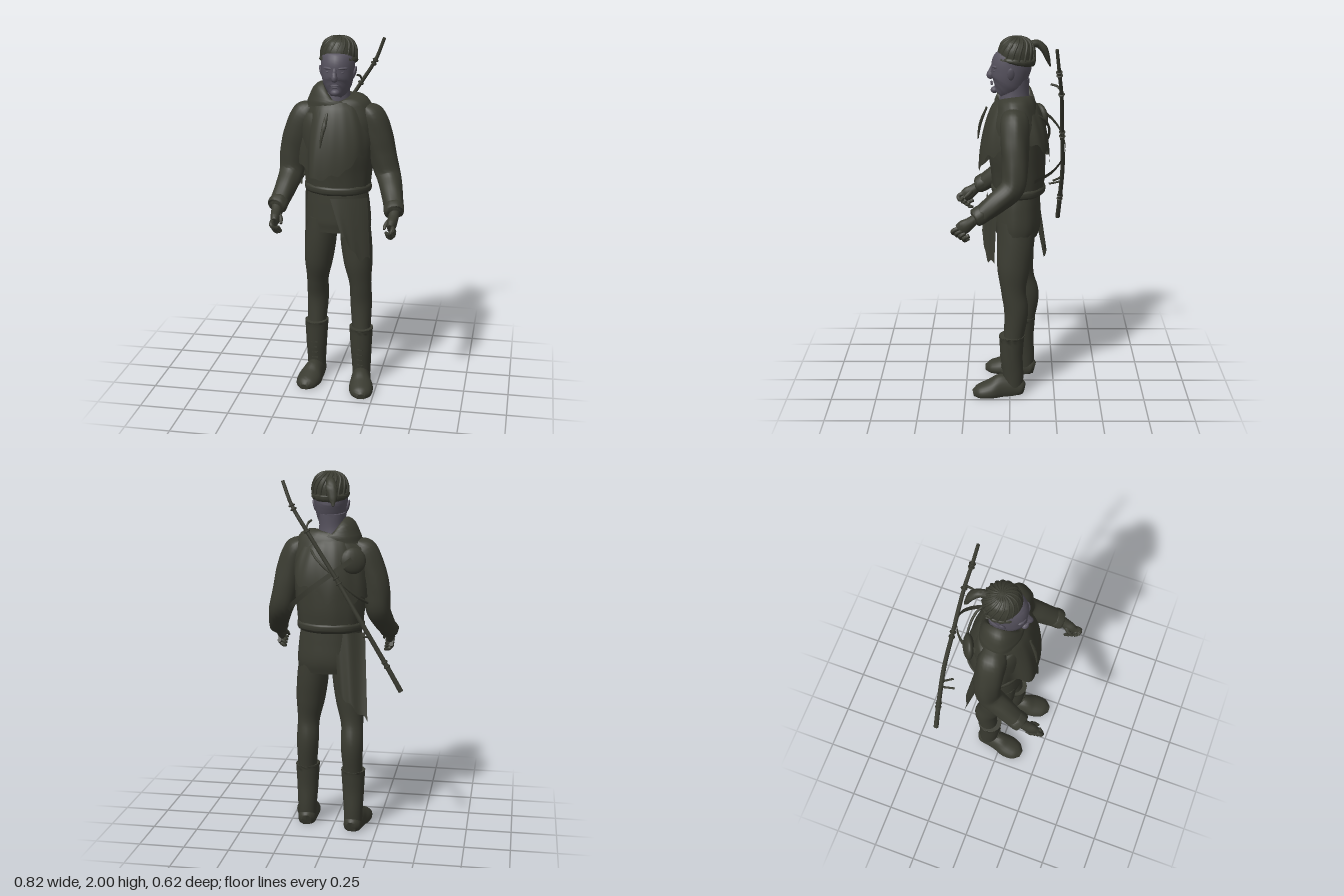
import * as THREE from 'three';
import { toCreasedNormals } from 'three/addons/utils/BufferGeometryUtils.js';

const { lerp, smoothstep } = THREE.MathUtils;
const V = (x, y, z) => new THREE.Vector3(x, y, z);

// Smooth closed body through elliptical sections [x, y, z, halfWidth, halfDepth]
function loft(rows, { n = 24, steps = 5, folds = 0, amp = 0, twist = 0, crease = 0.9 } = {}) {
  const path = new THREE.CatmullRomCurve3(rows.map((r) => V(r[0], r[1], r[2])));
  const size = new THREE.CatmullRomCurve3(rows.map((r) => V(r[3], r[4], r[1])), false, 'catmullrom', 0.4);
  const rings = (rows.length - 1) * steps;
  const pos = [], idx = [];
  for (let i = 0; i <= rings; i++) {
    const c = path.getPoint(i / rings), s = size.getPoint(i / rings), t = path.getTangent(i / rings);
    const u = V(1, 0, 0).addScaledVector(t, -t.x).normalize(), v = t.clone().cross(u);
    for (let j = 0; j < n; j++) {
      const a = (j / n) * Math.PI * 2, w = 1 + amp * Math.sin(folds * a + twist * i);
      const p = c.clone().addScaledVector(u, Math.cos(a) * s.x * w).addScaledVector(v, Math.sin(a) * s.y * w);
      pos.push(p.x, Math.max(p.y, 0), p.z); // anything below the ground is pressed flat
      if (i === rings) continue;
      const A = i * n + j, B = i * n + (j + 1) % n;
      idx.push(A, B, A + n, B, B + n, A + n);
    }
  }
  const first = rows[0], last = rows[rows.length - 1], k = pos.length / 3;
  pos.push(...first.slice(0, 3), ...last.slice(0, 3));
  for (let j = 0; j < n; j++) {
    const q = (j + 1) % n, e = rings * n;
    idx.push(k, q, j, k + 1, e + j, e + q);
  }
  return finish(pos, idx, crease);
}

// Open cloth surface from a rule f(u, v) -> [x, y, z]
function sheet(nu, nv, f) {
  const pos = [], idx = [];
  for (let j = 0; j <= nv; j++) for (let i = 0; i <= nu; i++) {
    pos.push(...f(i / nu, j / nv));
    if (i < nu && j < nv) {
      const a = j * (nu + 1) + i, b = a + nu + 1;
      idx.push(a, b, a + 1, b, b + 1, a + 1);
    }
  }
  return finish(pos, idx, 0.9);
}

function finish(pos, idx, crease) {
  const g = new THREE.BufferGeometry();
  g.setAttribute('position', new THREE.Float32BufferAttribute(pos, 3));
  g.setIndex(idx);
  g.computeVertexNormals();
  return toCreasedNormals(g, crease);
}

export function createModel() {
  const model = new THREE.Group();
  const mat = (name, color, side = THREE.FrontSide) => {
    const m = new THREE.MeshStandardMaterial({ color, side });
    m.name = name;
    return m;
  };
  const cloth = mat('dark olive cloth', 0x3a3b31, THREE.DoubleSide);
  const skin = mat('dusky skin', 0x56525e);
  const add = (name, geo, m = cloth) => {
    const mesh = new THREE.Mesh(geo, m);
    mesh.name = name;
    model.add(mesh);
    return mesh;
  };
  const ball = (name, x, y, z, rx, ry, rz, m = cloth) => {
    const b = add(name, new THREE.SphereGeometry(1, 16, 12), m);
    b.position.set(x, y, z);
    b.scale.set(rx, ry, rz);
    return b;
  };
  const tube = (name, pts, r) =>
    add(name, new THREE.TubeGeometry(new THREE.CatmullRomCurve3(pts.map((p) => V(...p))), 20, r, 8));

  // Neck, head and face
  add('neck', loft([[0.01, 1.78, -0.035, 0.074, 0.07], [0.01, 1.7, -0.025, 0.072, 0.077], [0, 1.6, -0.025, 0.1, 0.09]]), skin);
  add('head', loft([[0.02, 1.95, -0.03, 0.06, 0.06], [0.02, 1.9, -0.025, 0.088, 0.09], [0.02, 1.85, -0.01, 0.09, 0.107],
    [0.02, 1.8, 0, 0.087, 0.101], [0.02, 1.75, 0.012, 0.077, 0.09], [0.02, 1.715, 0.032, 0.056, 0.07],
    [0.02, 1.69, 0.055, 0.028, 0.037]], { crease: 2 }), skin);
  add('nose', loft([[0.02, 1.85, 0.086, 0.01, 0.01], [0.02, 1.815, 0.097, 0.012, 0.016], [0.02, 1.79, 0.103, 0.017, 0.021],
    [0.02, 1.777, 0.092, 0.013, 0.012]], { n: 12, crease: 2 }), skin);
  ball('chin', 0.02, 1.712, 0.083, 0.025, 0.018, 0.02, skin);
  ball('upperLip', 0.02, 1.754, 0.098, 0.024, 0.005, 0.007, skin);
  ball('lowerLip', 0.02, 1.744, 0.096, 0.02, 0.006, 0.007, skin);
  for (const s of [-1, 1]) {
    ball('brow', 0.02 + s * 0.038, 1.842, 0.08, 0.03, 0.008, 0.014, skin).rotation.y = s * 0.4;
    ball('eye', 0.02 + s * 0.036, 1.822, 0.08, 0.015, 0.006, 0.01, skin);
    const ear = ball('ear', 0.02 + s * 0.09, 1.81, -0.005, 0.009, 0.034, 0.019, skin);
    ear.rotation.z = -s * 0.25;
  }

  // Gathered cap: dome, spiral folds from the crown, ruffled brim and a tail behind
  add('cap', loft([[0.02, 1.995, -0.037, 0.01, 0.01], [0.02, 1.989, -0.037, 0.045, 0.046], [0.02, 1.965, -0.036, 0.078, 0.08],
    [0.02, 1.92, -0.034, 0.095, 0.097], [0.02, 1.865, -0.03, 0.095, 0.099]], { n: 40, crease: 2 }));
  for (let k = 0; k < 18; k++) {
    const at = (r, y, turn) => [0.02 + r * Math.cos(k * Math.PI / 9 + turn), y, -0.036 + r * Math.sin(k * Math.PI / 9 + turn)];
    tube('capFold', [at(0.01, 1.992, 0), at(0.045, 1.986, 0.12), at(0.078, 1.963, 0.3), at(0.094, 1.92, 0.5), at(0.095, 1.875, 0.6)], 0.0065);
  }
  add('capBrim', loft([[0.02, 1.892, -0.032, 0.09, 0.092], [0.02, 1.882, -0.031, 0.101, 0.104], [0.02, 1.868, -0.03, 0.102, 0.105],
    [0.02, 1.858, -0.028, 0.09, 0.094]], { n: 60, folds: 15, amp: 0.02, twist: 0.2 }));
  add('capTail', loft([[0.01, 1.95, -0.11, 0.022, 0.022], [0, 1.955, -0.145, 0.022, 0.02], [-0.01, 1.925, -0.18, 0.03, 0.02],
    [-0.02, 1.875, -0.2, 0.025, 0.014], [-0.025, 1.83, -0.215, 0.006, 0.004]], { n: 14 }));

  // Tunic, waist roll and short breeches
  add('tunic', loft([[-0.005, 1.66, -0.025, 0.125, 0.095], [0.005, 1.62, -0.03, 0.19, 0.115], [0.012, 1.53, -0.03, 0.212, 0.145],
    [0.015, 1.4, -0.035, 0.205, 0.155], [0.015, 1.27, -0.045, 0.188, 0.148], [0.015, 1.17, -0.045, 0.178, 0.14]],
    { n: 40, folds: 11, amp: 0.012, twist: 0.1 }));
  add('waistRoll', loft([[0.015, 1.2, -0.045, 0.17, 0.13], [0.015, 1.185, -0.045, 0.187, 0.148],
    [0.015, 1.155, -0.045, 0.184, 0.145], [0.015, 1.14, -0.045, 0.16, 0.125]], { n: 36, folds: 8, amp: 0.01 }));
  add('breeches', loft([[0.015, 1.16, -0.04, 0.165, 0.125], [0.018, 1.08, -0.04, 0.175, 0.128], [0.02, 0.98, -0.04, 0.182, 0.13],
    [0.02, 0.92, -0.035, 0.178, 0.118]], { n: 36, folds: 9, amp: 0.01 }));
  add('collar', loft([[-0.005, 1.678, -0.028, 0.08, 0.075], [-0.008, 1.675, -0.028, 0.118, 0.098], [-0.01, 1.655, -0.028, 0.136, 0.108],
    [-0.008, 1.63, -0.028, 0.15, 0.11]], { n: 36, folds: 5, amp: 0.02 }));

  // Shoulder cape: pulled to a loose corner at the right front, raised at the left, full across the back
  const bump = (a, centre, width) => Math.exp(-(((a - centre) / width) ** 2));
  add('cape', sheet(90, 14, (u, v) => {
    const a = u * Math.PI * 2, c = Math.cos(a), s = Math.sin(a), b = Math.sin(v * Math.PI / 2) ** 0.65;
    const hem = 1.33 - 0.07 * Math.max(0, s) + 0.13 * Math.max(0, c) + 0.012 * Math.sin(a * 9) + 0.01 * Math.sin(a * 17);
    const spread = 1 + v * (0.015 * Math.sin(a * 7 + 1) + 0.12 * bump(a, 2.03, 0.2) - 0.16 * bump(a, 2.5, 0.25)
      + 0.1 * bump(a, 5.5, 0.35) + 0.04 * bump(a, 1.5, 0.4));
    return [0.01 + c * (0.125 + 0.085 * b) * spread, lerp(1.655, hem, v), -0.025 + s * (0.1 + 0.09 * b) * spread];
  }));
  add('chestTassel', loft([[-0.015, 1.61, 0.125, 0.006, 0.006], [-0.025, 1.55, 0.15, 0.012, 0.008],
    [-0.035, 1.5, 0.165, 0.009, 0.008], [-0.045, 1.43, 0.175, 0.004, 0.004]], { n: 10 }));
  ball('shoulderPouch', -0.125, 1.54, -0.168, 0.07, 0.07, 0.028).rotation.set(0.15, 0.45, 0);

  // Hanging cloths at the front left and back right
  add('frontCloth', sheet(16, 10, (u, v) => {
    const x = lerp(0, 0.195, u) + v * lerp(0.07, 0.02, u);
    const hem = 0.93 - 0.13 * smoothstep(u, 0, 0.7) + 0.012 * Math.sin(u * 16);
    return [x, lerp(1.14, hem, v), -0.03 + 0.155 * Math.sqrt(1 - (x / 0.25) ** 2) + 0.035 * v];
  }));
  add('backCloth', sheet(12, 12, (u, v) => {
    const x = lerp(-0.18, -0.02, u) - v * 0.03;
    return [x, lerp(1.14, lerp(0.67, 0.82, u) + 0.012 * Math.sin(u * 14), v),
      -0.155 - 0.045 * v + 0.055 * (1 - u) ** 2 * (1 - v) + 0.008 * Math.sin(u * 9)];
  }));

  // Limbs: the right side is the left mirrored, its forearm closer in and its leg set further back
  for (const s of [1, -1]) {
    const side = s > 0 ? 'left' : 'right';
    const arm = (rows) => rows.map(([x, y, ...r]) => [s > 0 ? x : 0.035 + 0.04 * (1 - smoothstep(y, 1.12, 1.4)) - x, y, ...r]);
    const leg = (rows) => rows.map(([x, y, z, ...r]) => (s > 0 ? [x, y, z, ...r]
      : [0.04 - x, y, z - 0.065 * (1 - smoothstep(y, 0.45, 0.95)), ...r]));

    add(side + 'Sleeve', loft(arm([[0.15, 1.625, -0.03, 0.03, 0.05], [0.195, 1.575, -0.025, 0.075, 0.075], [0.235, 1.47, -0.025, 0.08, 0.075],
      [0.265, 1.36, -0.028, 0.076, 0.07], [0.297, 1.25, -0.015, 0.067, 0.064], [0.327, 1.18, 0.065, 0.059, 0.058],
      [0.352, 1.115, 0.15, 0.052, 0.048]]), { folds: 5, amp: 0.03, twist: 0.35 }));
    add(side + 'Cuff', loft(arm([[0.348, 1.13, 0.13, 0.046, 0.042], [0.351, 1.12, 0.147, 0.054, 0.05],
      [0.356, 1.1, 0.18, 0.053, 0.047], [0.358, 1.097, 0.186, 0.036, 0.034]]), { folds: 7, amp: 0.03 }));
    add(side + 'Palm', loft(arm([[0.357, 1.1, 0.175, 0.028, 0.026], [0.355, 1.075, 0.205, 0.028, 0.03], [0.352, 1.05, 0.24, 0.026, 0.038],
      [0.35, 1.035, 0.268, 0.018, 0.03]]), { n: 14 }));
    for (let f = 0; f < 4; f++) {
      const z = 0.285 - f * 0.019, y = 1.045 - f * 0.013;
      add(side + 'Finger', loft(arm([[0.362, y, z - 0.015, 0.012, 0.012], [0.362, y - 0.014, z + 0.012, 0.012, 0.012],
        [0.345, y - 0.032, z + 0.008, 0.011, 0.011], [0.325, y - 0.03, z - 0.012, 0.008, 0.008]]), { n: 8, steps: 3 }));
    }
    add(side + 'Thumb', loft(arm([[0.345, 1.075, 0.21, 0.013, 0.013], [0.322, 1.05, 0.24, 0.012, 0.012],
      [0.315, 1.03, 0.265, 0.007, 0.007]]), { n: 8, steps: 3 }));

    add(side + 'Leg', loft(leg([[0.108, 1, -0.035, 0.083, 0.105], [0.12, 0.87, -0.03, 0.086, 0.1], [0.134, 0.74, -0.02, 0.08, 0.09],
      [0.147, 0.61, -0.02, 0.062, 0.068], [0.15, 0.5, -0.035, 0.061, 0.066], [0.155, 0.33, -0.02, 0.052, 0.055]]),
      { folds: 4, amp: 0.012, twist: 0.4 }));
    add(side + 'BootShaft', loft(leg([[0.155, 0.335, -0.01, 0.055, 0.058], [0.155, 0.35, -0.01, 0.067, 0.071], [0.155, 0.33, -0.01, 0.066, 0.069],
      [0.156, 0.22, -0.01, 0.06, 0.062], [0.157, 0.12, -0.018, 0.054, 0.058], [0.157, 0.03, -0.02, 0.05, 0.054]])));
    add(side + 'BootFoot', loft(leg([[0.153, 0.025, -0.078, 0.028, 0.035], [0.155, 0.03, -0.06, 0.047, 0.05], [0.158, 0.035, -0.01, 0.053, 0.07],
      [0.164, 0.032, 0.05, 0.058, 0.083], [0.175, 0.024, 0.11, 0.069, 0.06], [0.185, 0.018, 0.17, 0.058, 0.042],
      [0.19, 0.012, 0.207, 0.022, 0.02]]), { crease: 0.7 }));
    // Boot lacing
    for (let i = 0; i < 4; i++) {
      const [p] = leg([[0.157, 0.13 + i * 0.033, 0.042 + i * 0.003]]);
      const lace = add(side + 'Lace', new THREE.BoxGeometry(0.035, 0.006, 0.008));
      lace.position.set(...p);
    }
  }

  // Crooked staff slung across the back, with twigs and bound knots
  const staff = [[0.235, 1.96, -0.24], [0.185, 1.835, -0.255], [0.1, 1.7, -0.272], [-0.06, 1.45, -0.285],
    [-0.18, 1.25, -0.296], [-0.32, 1.01, -0.288], [-0.398, 0.87, -0.28]];
  add('staff', loft(staff.map((p, i) => [...p, 0.009 + i * 0.0008, 0.009 + i * 0.0008]), { n: 10 }));
  const line = new THREE.CatmullRomCurve3(staff.map((p) => V(...p)));
  for (const t of [1 / 6, 0.19, 0.33, 0.49, 0.51, 0.82, 0.84]) {
    const knot = add('staffBinding', new THREE.TorusGeometry(0.013, 0.005, 6, 14));
    knot.position.copy(line.getPoint(t));
    knot.quaternion.setFromUnitVectors(V(0, 0, 1), line.getTangent(t));
  }
  const twigs = [[[0.11, 1.715, -0.272], [0.1, 1.745, -0.25], [0.09, 1.755, -0.215]],
    [[-0.25, 1.13, -0.293], [-0.24, 1.125, -0.26], [-0.23, 1.12, -0.222]],
    [[-0.23, 1.165, -0.294], [-0.21, 1.155, -0.27], [-0.19, 1.15, -0.243]]];
  for (const t of twigs) tube('staffTwig', t, 0.006);

  // Flat carrying strap looped round the staff, and a hem band across the back
  const strap = new THREE.CatmullRomCurve3([V(-0.15, 1.58, -0.12), V(-0.12, 1.55, -0.2), V(-0.02, 1.48, -0.275), V(0.1, 1.39, -0.295),
    V(0.19, 1.31, -0.23), V(0.235, 1.26, -0.13)]);
  add('staffStrap', sheet(30, 1, (u, v) => {
    const p = strap.getPoint(u);
    return [p.x + (v - 0.5) * 0.014, p.y + (v - 0.5) * 0.022, p.z];
  }));
  tube('backBand', [[0.13, 1.63, -0.07], [0.08, 1.56, -0.185], [-0.04, 1.45, -0.212], [-0.14, 1.35, -0.165], [-0.19, 1.3, -0.08]], 0.007);

  return model;
}
